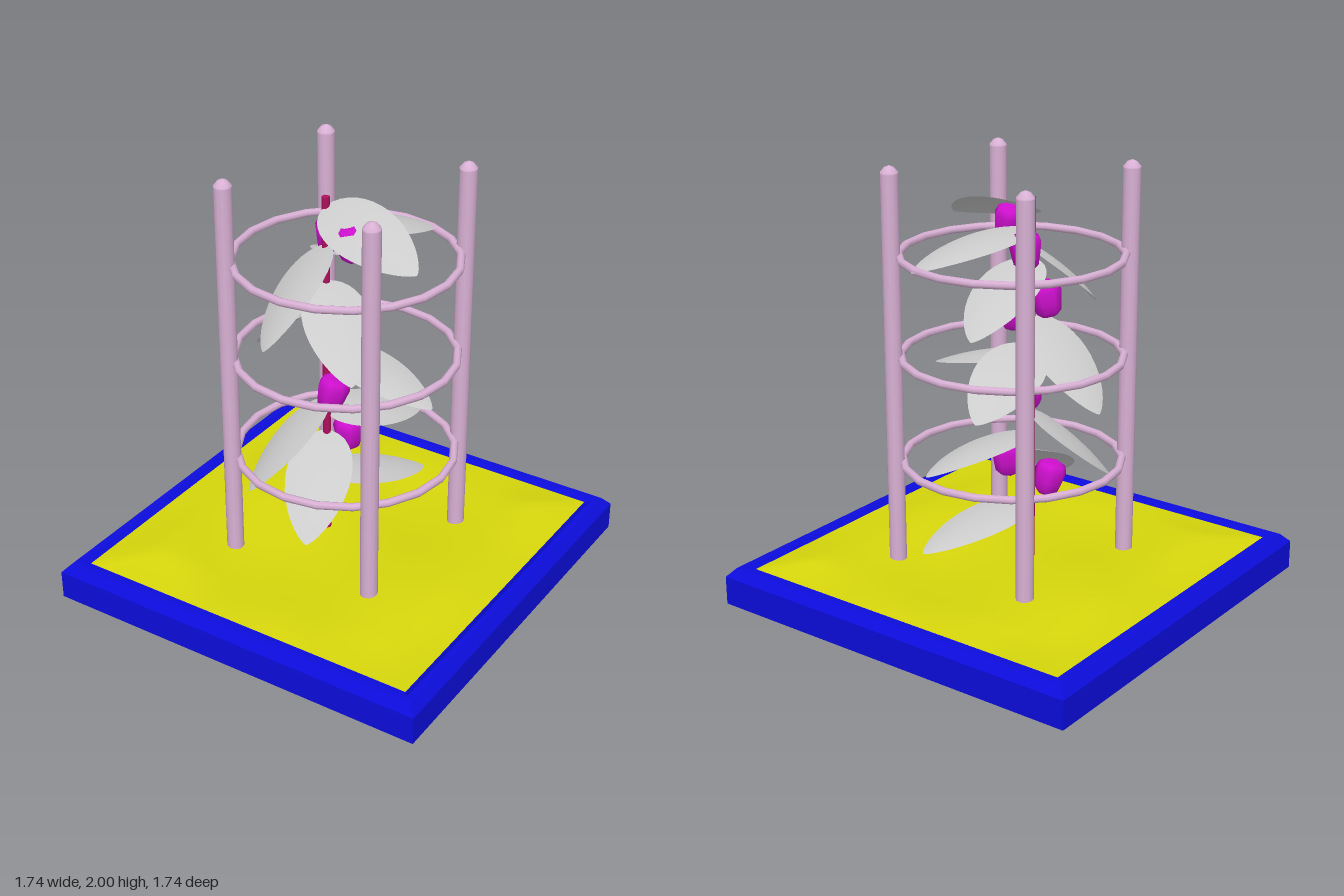
import * as THREE from 'three';

const mat = (color, extra = {}) => new THREE.MeshStandardMaterial({ color, ...extra });

const points = (list) => list.map(([x, y]) => new THREE.Vector2(x, y));

// Blade lying along +z, unit length: rounded base, pointed tip, arched and cupped
function leafGeometry(length, halfWidth) {
  const geo = new THREE.PlaneGeometry(2, 1, 8, 18);
  const pos = geo.attributes.position;
  for (let i = 0; i < pos.count; i++) {
    const v = pos.getX(i);
    const t = pos.getY(i) + 0.5;
    const u = t * t * (3 - 2 * t); // finer steps at both ends
    const w = halfWidth * Math.sqrt(u) * Math.pow(1 - u, 0.75) / 0.433;
    pos.setXYZ(i, v * w, 0.12 * u * (1 - u) - 0.015 * v * v * Math.sin(Math.PI * u), u * length);
  }
  geo.computeVertexNormals();
  return geo;
}

function addLeaf(parent, material, baseY, tip, roll) {
  const base = new THREE.Vector3(-0.08, baseY, 0.005);
  const dir = new THREE.Vector3(...tip).sub(base);
  const length = dir.length();
  dir.normalize();
  const side = new THREE.Vector3(0, 1, 0).cross(dir).normalize();
  const normal = new THREE.Vector3().crossVectors(dir, side);
  const leaf = new THREE.Mesh(leafGeometry(length, 0.14), material);
  leaf.quaternion.setFromRotationMatrix(new THREE.Matrix4().makeBasis(side, normal, dir));
  leaf.rotateZ(roll);
  leaf.position.copy(base);
  leaf.name = 'leaf';
  parent.add(leaf);
}

export function createModel() {
  const model = new THREE.Group();
  const add = (name, geo, material, parent = model) => {
    const mesh = new THREE.Mesh(geo, material);
    mesh.name = name;
    parent.add(mesh);
    return mesh;
  };
  const wood = mat(0xd8b0d4);

  // Square planter tray with bevelled rim
  const trayProfile = [[0, 0.14], [0.87, 0.14], [0.87, 0.265], [0.835, 0.303],
    [0.805, 0.303], [0.77, 0.27], [0, 0.27]];
  const tray = new THREE.LatheGeometry(
    points(trayProfile.map(([r, y]) => [r * Math.SQRT2, y])), 4, Math.PI / 4);
  add('planterTray', tray, mat(0x0c0cdc, { flatShading: true }));

  // Gently uneven soil
  const soil = new THREE.PlaneGeometry(1.56, 1.56, 32, 32).rotateX(-Math.PI / 2);
  const sp = soil.attributes.position;
  for (let i = 0; i < sp.count; i++) {
    const x = sp.getX(i), z = sp.getZ(i);
    const fade = Math.min(1, (0.78 - Math.max(Math.abs(x), Math.abs(z))) * 5);
    const wave = Math.sin(6 * x + 2 * z + 4.5) + Math.cos(7 * z - 3 * x) + 0.5 * Math.sin(13 * x - 9 * z);
    sp.setY(i, 0.292 + fade * (0.014 + 0.011 * wave));
  }
  soil.computeVertexNormals();
  add('soil', soil, mat(0xd6d60c));

  // Four corner stakes with blunt points
  const stake = new THREE.LatheGeometry(points([[0, 0], [0.02, 0.008], [0.037, 0.028],
    [0.037, 0.035], [0.037, 1.965], [0.037, 1.972], [0.02, 1.992], [0, 2]]), 12);
  for (const [x, z] of [[-0.32, -0.36], [0.367, -0.337], [-0.345, 0.33], [0.347, 0.352]])
    add('stake', stake, wood).position.set(x, 0, z);

  // Three support hoops
  const hoop = new THREE.TorusGeometry(0.462, 0.017, 8, 20).rotateX(Math.PI / 2);
  for (const y of [0.735, 1.193, 1.623])
    add('supportHoop', hoop, wood).position.set(0.01, y, 0);

  // Plant stem
  add('stem', new THREE.CylinderGeometry(0.017, 0.017, 1.6, 8), mat(0xb0105c))
    .position.set(-0.08, 1.07, 0.01);

  // Leaves: height on the stem, tip position, roll about the midrib
  const leaves = new THREE.Group();
  leaves.name = 'leaves';
  const leafMat = mat(0xcccccc, { side: THREE.DoubleSide });
  const leafList = [
    [1.83, [0.42, 1.71, 0.14], 0.4],
    [1.74, [0.16, 1.62, -0.46], 0],
    [1.66, [-0.11, 1.35, 0.42], 0.4],
    [1.62, [-0.15, 1.4, -0.48], 0],
    [1.5, [0.26, 1.27, 0.35], 0],
    [1.38, [-0.48, 1.06, -0.08], 0],
    [1.25, [-0.16, 1.06, -0.47], -0.25],
    [1.2, [0.44, 1.07, 0.03], 0],
    [0.94, [-0.25, 0.61, 0.35], 0.25],
    [0.87, [0.12, 0.76, -0.44], 0.15],
    [0.79, [0.09, 0.51, 0.43], 0],
    [0.56, [0.12, 0.43, -0.47], 0],
  ];
  for (const [y, tip, roll] of leafList) addLeaf(leaves, leafMat, y, tip, roll);
  model.add(leaves);

  // Blocky fruits hanging by the stem
  const fruits = new THREE.Group();
  fruits.name = 'fruits';
  const fruit = new THREE.LatheGeometry(points([[0, -0.07], [0.032, -0.073], [0.052, -0.055],
    [0.06, -0.02], [0.069, 0.03], [0.058, 0.06], [0.035, 0.073], [0, 0.065]]), 7);
  const fruitMat = mat(0xd010d0);
  [[0.08, 1.73, 0.07], [-0.11, 1.67, -0.07], [-0.17, 1.47, -0.015], [0, 1.38, 0],
    [-0.07, 1.13, -0.12], [-0.02, 1.02, 0.06], [-0.02, 0.765, -0.07], [-0.11, 0.64, 0.1],
  ].forEach(([x, y, z], i) => {
    const mesh = add('fruit', fruit, fruitMat, fruits);
    mesh.position.set(x, y, z);
    mesh.rotation.set(0.25 * Math.sin(i * 2), i * 1.3, 0.25 * Math.cos(i * 3));
  });
  model.add(fruits);

  return model;
}
